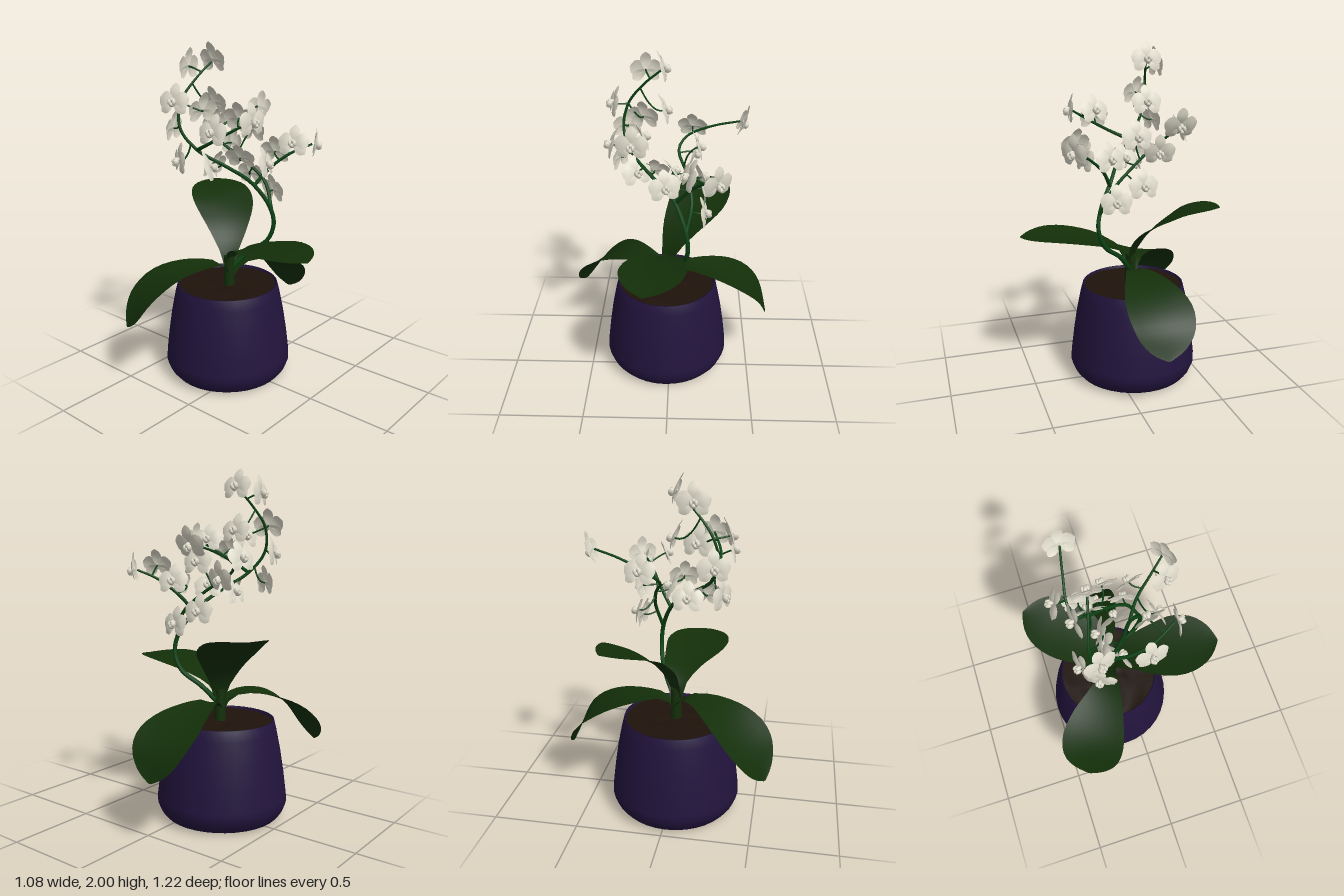
import * as THREE from 'three';
import { mergeGeometries } from 'three/addons/utils/BufferGeometryUtils.js';

const V = (x, y, z) => new THREE.Vector3(x, y, z);
const curve = (pts) => new THREE.CatmullRomCurve3(pts.map((p) => V(...p)));
const mat = (color, side = THREE.FrontSide) =>
  new THREE.MeshStandardMaterial({ color, side });

function addMesh(parent, name, geometry, material) {
  const mesh = new THREE.Mesh(geometry, material);
  mesh.name = name;
  parent.add(mesh);
  return mesh;
}

// Thin blade (leaf or petal): cross-sections of varying half width along a spine
function blade(points, halfWidths, { cup = 0.1, rows = 18, cols = 8, side = null } = {}) {
  const spine = curve(points);
  const profile = new THREE.SplineCurve(
    halfWidths.map(([t, w]) => new THREE.Vector2(t, w))).getPoints(120);
  const widthAt = (t) => {
    const k = Math.max(1, profile.findIndex((p) => p.x >= t - 1e-6));
    const a = profile[k - 1], b = profile[k];
    return THREE.MathUtils.lerp(a.y, b.y, (t - a.x) / (b.x - a.x || 1));
  };
  const pos = [], index = [];
  for (let i = 0; i <= rows; i++) {
    const t = 1 - (1 - i / rows) ** 1.5; // finer rows toward the tip
    const T = spine.getTangentAt(t);
    const S = side ? side.clone() : T.clone().cross(V(0, 1, 0)).normalize();
    const N = S.clone().cross(T);
    const w = widthAt(t);
    for (let j = 0; j <= cols; j++) {
      const u = (j / cols) * 2 - 1;
      const p = spine.getPointAt(t).addScaledVector(S, u * w).addScaledVector(N, cup * w * u * u);
      pos.push(p.x, p.y, p.z);
      if (i < rows && j < cols) {
        const a = i * (cols + 1) + j, c = a + cols + 1;
        index.push(a, a + 1, c, a + 1, c + 1, c);
      }
    }
  }
  const g = new THREE.BufferGeometry();
  g.setAttribute('position', new THREE.Float32BufferAttribute(pos, 3));
  g.setIndex(index);
  g.computeVertexNormals();
  return g;
}

// Five petals facing +z: two broad at the sides, three narrower
function petalGeometry() {
  const petal = (length, half, angle, z) => blade(
    [[0, 0, z], [0, length * 0.5, z + 0.008], [0, length, z - 0.004]],
    [[0, 0.006], [0.3, half * 0.75], [0.6, half], [0.85, half * 0.75], [1, 0.004]],
    { cup: -0.12, rows: 8, cols: 4, side: V(1, 0, 0) }).rotateZ(angle);
  const parts = [0, 2.2, -2.2].map((a) => petal(a ? 0.09 : 0.105, 0.031, a, 0));
  parts.push(petal(0.092, 0.046, 1.32, 0.004), petal(0.092, 0.046, -1.32, 0.004));
  return mergeGeometries(parts);
}

// Rounded lip: a column, two side lobes and a lower lobe
function lipGeometry() {
  const lobe = (r, sx, sy, sz, x, y, z) =>
    new THREE.SphereGeometry(r, 10, 8).scale(sx, sy, sz).translate(x, y, z);
  return mergeGeometries([
    lobe(0.014, 0.8, 0.9, 1.4, 0, 0.008, 0.018),
    lobe(0.017, 0.6, 1, 1, 0.013, -0.004, 0.026),
    lobe(0.017, 0.6, 1, 1, -0.013, -0.004, 0.026),
    lobe(0.016, 0.9, 0.8, 1.2, 0, -0.018, 0.024),
  ]);
}

// Tube that thins out from r0 to r1
function taperedTube(path, r0, r1, segments, sides = 8) {
  const g = new THREE.TubeGeometry(path, segments, r0, sides);
  const p = g.attributes.position, v = V(0, 0, 0);
  for (let i = 0; i < p.count; i++) {
    const t = Math.floor(i / (sides + 1)) / segments;
    const c = path.getPointAt(t);
    v.fromBufferAttribute(p, i).sub(c).multiplyScalar(1 + (r1 / r0 - 1) * t).add(c);
    p.setXYZ(i, v.x, v.y, v.z);
  }
  return g;
}

export function createModel() {
  const model = new THREE.Group();
  model.name = 'pottedOrchid';
  const potMat = mat(0x22143d, THREE.DoubleSide), soilMat = mat(0x1e130b);
  const leafMat = mat(0x132f09, THREE.DoubleSide), stemMat = mat(0x0c4214);
  const petalMat = mat(0xdedaca, THREE.DoubleSide);

  // Pot with thin rim
  const profile = [[0, 0], [0.3, 0], [0.335, 0.012], [0.362, 0.045], [0.38, 0.09], [0.379, 0.13],
    [0.362, 0.27], [0.342, 0.4], [0.318, 0.52], [0.303, 0.58], [0.295, 0.58], [0.29, 0.54]];
  addMesh(model, 'pot', new THREE.LatheGeometry(
    profile.map(([r, y]) => new THREE.Vector2(r, y)), 36), potMat).position.set(-0.12, 0, 0.02);

  // Uneven soil
  const soil = new THREE.RingGeometry(0.001, 0.294, 28, 6).rotateX(-Math.PI / 2);
  const sp = soil.attributes.position;
  for (let i = 0; i < sp.count; i++) {
    const x = sp.getX(i), z = sp.getZ(i);
    sp.setY(i, 0.008 * Math.sin(x * 41 + 2 * Math.sin(z * 23)) * Math.cos(z * 37));
  }
  soil.computeVertexNormals();
  addMesh(model, 'soil', soil, soilMat).position.set(-0.12, 0.565, 0.02);

  // Short trunk
  addMesh(model, 'trunk', new THREE.CylinderGeometry(0.03, 0.034, 0.21, 14), leafMat)
    .position.set(-0.105, 0.645, 0.02);

  // Broad arching leaves, widest past the middle and closing to a blunt point
  const leafWidths = [[0, 0.03], [0.15, 0.055], [0.3, 0.105], [0.5, 0.165], [0.66, 0.19],
    [0.8, 0.172], [0.9, 0.125], [0.96, 0.07], [1, 0.008]];
  const leaves = {
    backLeaf: [[-0.1, 0.62, 0.02], [-0.1, 0.685, -0.05], [-0.11, 0.68, -0.2],
      [-0.115, 0.62, -0.39], [-0.12, 0.52, -0.53], [-0.12, 0.355, -0.612]],
    frontLeaf: [[-0.11, 0.62, 0.02], [-0.13, 0.7, 0.07], [-0.195, 0.715, 0.2],
      [-0.3, 0.66, 0.36], [-0.375, 0.55, 0.48], [-0.425, 0.385, 0.57]],
    leftLeaf: [[-0.11, 0.66, 0.02], [-0.07, 0.77, 0.02], [0.05, 0.835, 0.035],
      [0.22, 0.872, 0.075], [0.38, 0.89, 0.1], [0.54, 0.89, 0.13]],
    rightLeaf: [[-0.1, 0.66, 0.02], [-0.118, 0.77, 0.005], [-0.175, 0.89, -0.05],
      [-0.275, 0.99, -0.135], [-0.39, 1.06, -0.215], [-0.52, 1.1, -0.315]],
  };
  for (const [name, pts] of Object.entries(leaves)) {
    addMesh(model, name, blade(pts, leafWidths), leafMat);
  }

  // Flower stems: a main spike and its side branches
  const stems = [
    [[-0.1, 0.66, 0.02], [-0.02, 0.77, -0.05], [0.09, 0.86, -0.1], [0.13, 0.97, -0.11],
      [0.11, 1.08, -0.09], [0.03, 1.22, -0.02], [-0.05, 1.32, 0.1], [-0.16, 1.42, 0.22],
      [-0.24, 1.54, 0.27], [-0.26, 1.68, 0.24], [-0.23, 1.8, 0.15], [-0.2, 1.89, 0.05]],
    [[0.12, 1.05, -0.1], [0.05, 1.2, -0.13], [-0.08, 1.32, -0.1], [-0.22, 1.42, -0.05],
      [-0.28, 1.48, -0.1], [-0.26, 1.55, -0.25], [-0.23, 1.59, -0.4]],
    [[-0.16, 1.42, 0.22], [-0.05, 1.47, 0.25], [0.08, 1.54, 0.24], [0.2, 1.61, 0.19]],
    [[0.04, 1.2, -0.04], [0.1, 1.3, -0.11], [0.2, 1.39, -0.18], [0.29, 1.44, -0.25]],
  ].map(curve);
  stems.forEach((path, i) => addMesh(model, i ? 'stemBranch' : 'flowerStem',
    taperedTube(path, i ? 0.011 : 0.015, 0.006, i ? 24 : 60), stemMat));
  const stemPoints = stems.flatMap((path) => path.getSpacedPoints(40)).filter((p) => p.y > 1.03);

  // Flowers: position, then facing direction
  const flowers = [
    [-0.2, 1.9, 0.04, 0, 0.3, -1], [-0.29, 1.865, 0.14, -1, 0.1, 0.15],
    [-0.2, 1.66, 0.03, 0, 0.35, -1], [-0.23, 1.69, 0.32, 0.3, 0.3, 1],
    [-0.18, 1.63, 0.15, -1, 0.3, -0.3], [-0.31, 1.53, 0.25, -1, 0.15, 0.3],
    [-0.23, 1.36, 0.29, -0.5, 0.1, 1], [0.21, 1.61, 0.19, 1, 0.1, 0.1],
    [0.04, 1.55, 0.31, 0.1, 0.35, 1], [0.08, 1.61, 0.14, -0.3, 0.45, -1],
    [-0.23, 1.585, -0.41, 0, -0.45, -1], [-0.35, 1.51, -0.13, -1, 0.45, -0.2],
    [-0.22, 1.4, -0.14, 0.2, -0.25, -1], [-0.08, 1.49, -0.16, -0.1, 0.3, -1],
    [-0.11, 1.22, -0.19, -0.1, 0.25, -1], [0.05, 1.14, -0.2, 0.15, 0.2, -1],
    [0.08, 1.38, -0.18, -0.3, 0.35, -1], [0.26, 1.46, -0.11, 0.32, 0.4, 0.95],
    [0.3, 1.44, -0.26, 0.8, -0.1, -0.55], [0.17, 1.35, 0.02, 1, 0.3, -0.3],
    [-0.05, 1.35, -0.02, -0.3, 0.6, -0.9], [-0.15, 1.31, 0.09, -1, 0.5, 0],
    [-0.09, 1.32, 0.19, 0.8, 0.4, -0.4],
  ];
  const petals = petalGeometry(), lip = lipGeometry();
  for (const [x, y, z, dx, dy, dz] of flowers) {
    const flower = new THREE.Group();
    flower.name = 'flower';
    const centre = V(x, y, z), facing = V(dx, dy, dz).normalize();
    flower.position.copy(centre);
    flower.lookAt(centre.clone().add(facing));
    addMesh(flower, 'petals', petals, petalMat);
    addMesh(flower, 'lip', lip, petalMat);
    model.add(flower);

    // Thin stalk from the back of the flower to the nearest stem
    const root = stemPoints.reduce((a, b) =>
      (b.distanceToSquared(centre) < a.distanceToSquared(centre) ? b : a));
    const reach = root.distanceTo(centre);
    if (reach < 0.02) continue;
    const bend = centre.clone().addScaledVector(facing, -0.4 * reach);
    addMesh(model, 'flowerStalk', new THREE.TubeGeometry(
      new THREE.QuadraticBezierCurve3(root, bend, centre), 8, 0.005, 6), stemMat);
  }
  return model;
}
